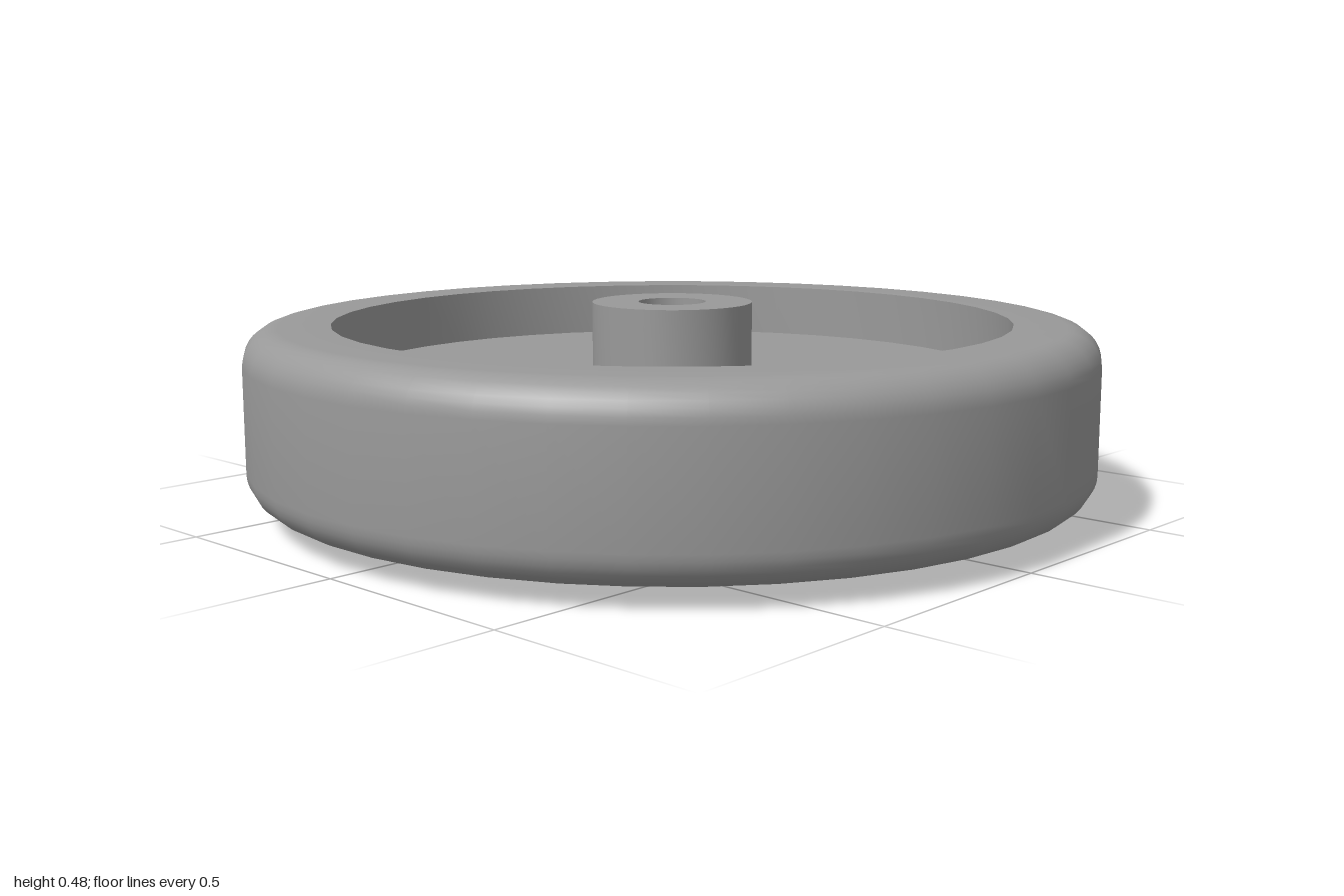
import * as THREE from 'three';
import { toCreasedNormals } from 'three/addons/utils/BufferGeometryUtils.js';

const SEGMENTS = 42;
const HEIGHT = 0.48;
const material = new THREE.MeshStandardMaterial({ color: 0x999999 });

// Revolves a [radius, y] profile about the y axis, keeping its corners sharp.
function revolve(name, profile) {
  const points = profile.map(([r, y]) => new THREE.Vector2(r, y));
  const lathe = new THREE.LatheGeometry(points, SEGMENTS, Math.PI / 2);
  const mesh = new THREE.Mesh(toCreasedNormals(lathe, 0.6), material);
  mesh.name = name;
  return mesh;
}

// Quarter-round from angle a0, centred on (r, y).
function fillet(r, y, radius, a0, steps = 8) {
  return Array.from({ length: steps + 1 }, (_, i) => {
    const a = a0 + (i / steps) * Math.PI / 2;
    return [r + radius * Math.cos(a), y + radius * Math.sin(a)];
  });
}

export function createModel() {
  const model = new THREE.Group();
  model.name = 'wheel';

  const outer = 1, inner = 0.8, round = 0.08;
  const rimLow = 0.04, rimHigh = HEIGHT - rimLow;
  const webLow = 0.17, webHigh = HEIGHT - webLow;
  const hub = 0.19, bore = 0.08;

  // Thick outer rim with rounded shoulders
  model.add(revolve('rim', [
    [inner, webLow], [inner, rimLow],
    ...fillet(outer - round, rimLow + round, round, -Math.PI / 2),
    ...fillet(outer - round, rimHigh - round, round, 0),
    [inner, rimHigh], [inner, webHigh],
  ]));

  // Recessed disc faces between rim and hub
  model.add(revolve('upperWeb', [[inner, webHigh], [hub, webHigh]]));
  model.add(revolve('lowerWeb', [[hub, webLow], [inner, webLow]]));

  // Hub bosses with the axle bore running through
  model.add(revolve('hub', [
    [hub, webHigh], [hub, HEIGHT], [bore, HEIGHT],
    [bore, 0], [hub, 0], [hub, webLow],
  ]));

  return model;
}
